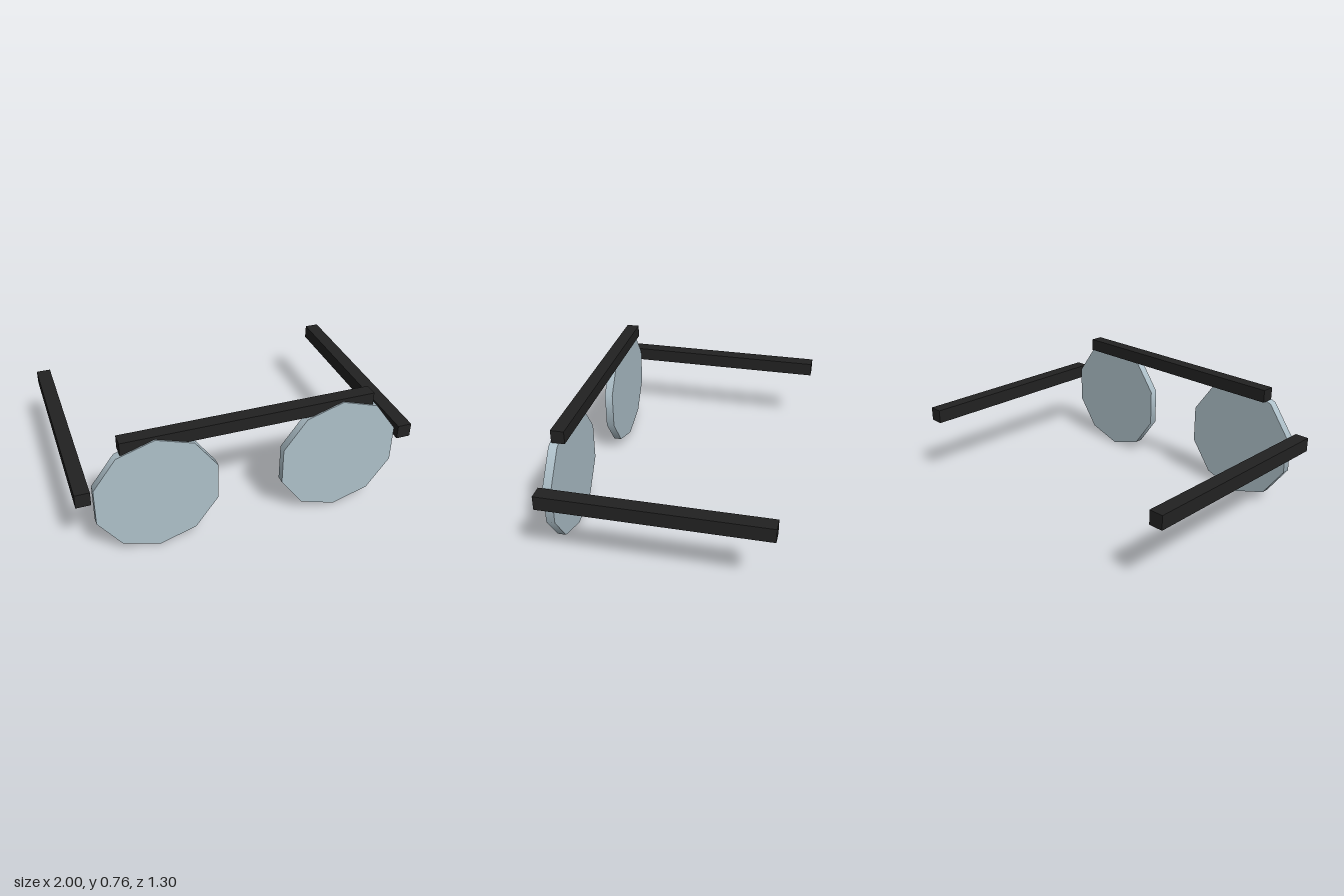
import * as THREE from 'three';

export function createModel() {
  const group = new THREE.Group();
  const frame = new THREE.MeshStandardMaterial({ color: 0x222222 });
  frame.name = 'frame black';
  const glass = new THREE.MeshStandardMaterial({ color: 0xaec0c9 });
  glass.name = 'lens grey blue';

  const add = (name, geometry, material, x, y, z) => {
    const mesh = new THREE.Mesh(geometry, material);
    mesh.name = name;
    mesh.position.set(x, y, z);
    group.add(mesh);
  };

  // Straight brow bar just behind the front faces of the lenses
  add('browBar', new THREE.BoxGeometry(1.474, 0.077, 0.078), frame, 0, 0.721, 0.588);

  // Ten-sided lens discs facing front, and the side arms
  const lens = new THREE.CylinderGeometry(0.369, 0.369, 0.05, 10).rotateX(Math.PI / 2);
  const arm = new THREE.BoxGeometry(0.085, 0.085, 1.304);
  for (const [side, s] of [['left', 1], ['right', -1]]) {
    add(side + 'Lens', lens, glass, s * 0.546, 0.369 + 0.004, 0.61);
    add(side + 'Arm', arm, frame, s * 0.9575, 0.459, 0);
  }
  return group;
}
